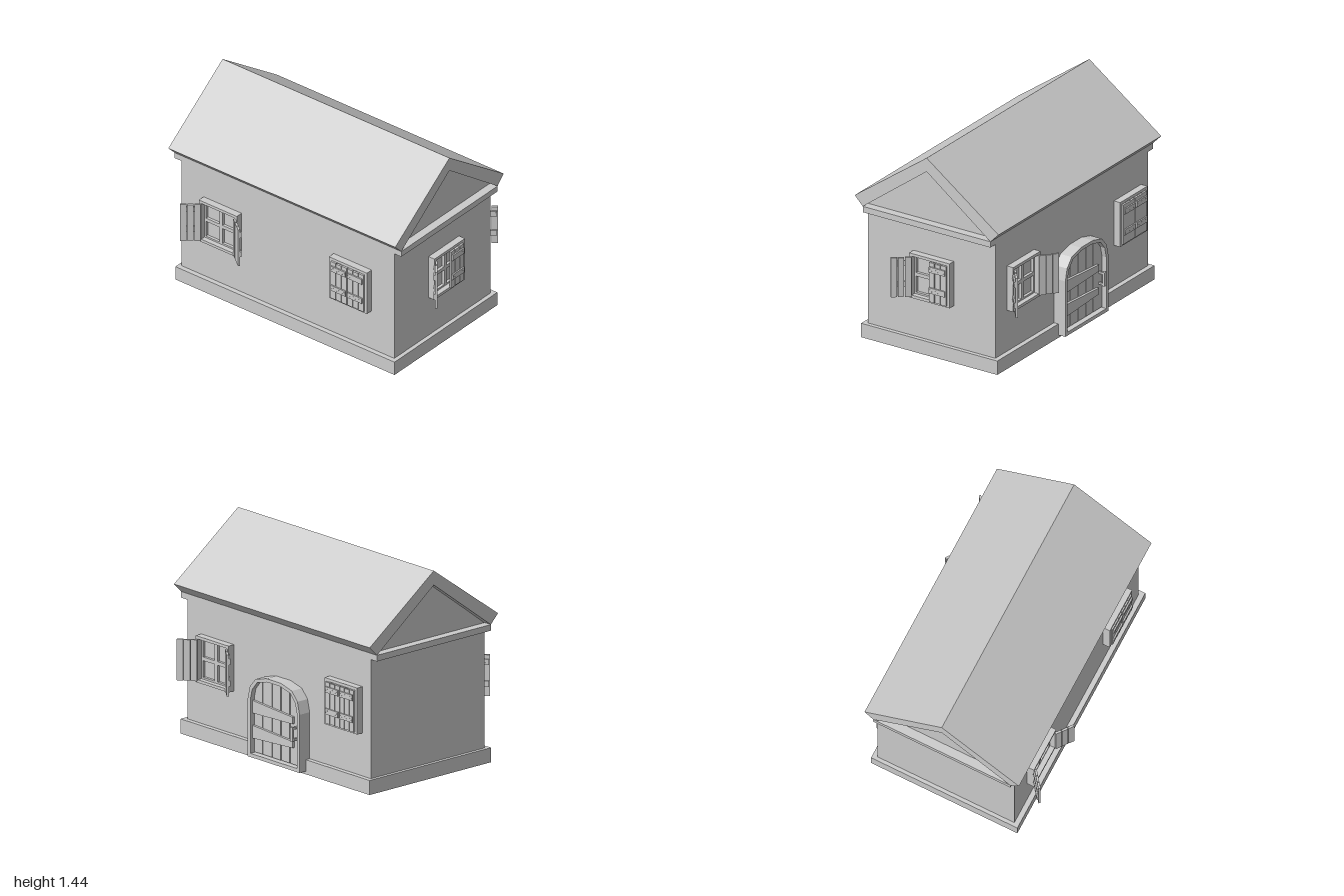
import * as THREE from 'three';

const grey = new THREE.MeshStandardMaterial({ color: 0xcccccc, flatShading: true, side: THREE.DoubleSide });

function add(parent, name, geometry, x = 0, y = 0, z = 0) {
  const mesh = new THREE.Mesh(geometry, grey);
  mesh.name = name;
  mesh.position.set(x, y, z);
  parent.add(mesh);
  return mesh;
}

function box(parent, name, w, h, d, x, y, z) {
  return add(parent, name, new THREE.BoxGeometry(w, h, d), x, y, z);
}

function group(parent, name, x = 0, y = 0, z = 0) {
  const g = new THREE.Group();
  g.name = name;
  g.position.set(x, y, z);
  parent.add(g);
  return g;
}

const polygon = (pts) => pts.map(([x, y]) => new THREE.Vector2(x, y));
const rectangle = (x0, x1, y0, y1) => [[x0, y0], [x1, y0], [x1, y1], [x0, y1]];

// Prism from an outline with optional holes, running from z = 0 to z = depth
function prism(outline, depth, holes = []) {
  const shape = new THREE.Shape(polygon(outline));
  holes.forEach((h) => shape.holes.push(new THREE.Path(polygon(h))));
  return new THREE.ExtrudeGeometry(shape, { depth, bevelEnabled: false });
}

const WINDOW_Y = 0.555;
const WALL = 0.045;

// One plank shutter, hinged at x = 0 and reaching towards side * x
function shutter(parent, side, open) {
  const s = group(parent, 'shutter', -side * 0.14, -0.006, 0.052);
  s.rotation.y = open ? -side * THREE.MathUtils.degToRad(142) : 0;
  const heights = [0.285, 0.28, 0.284];
  heights.forEach((h, i) => box(s, 'shutterPlank', 0.042, h, 0.015, side * (0.023 + i * 0.0465), 0, 0));
  for (const y of [0.094, -0.056]) {
    box(s, 'shutterBatten', 0.124, 0.04, 0.01, side * 0.07, y, 0.0125);
    for (let i = 0; i < 6; i++) {
      const nail = new THREE.CylinderGeometry(0.0022, 0.0022, 0.004, 6).rotateX(Math.PI / 2);
      const dx = Math.floor(i / 2) * 0.0465 + (i % 2 ? 0.008 : -0.008);
      add(s, 'nail', nail, side * (0.023 + dx), y + (i % 2 ? 0.007 : -0.005), 0.0185);
    }
  }
}

// Framed four-pane window with two shutters, facing +z from the wall face
function windowUnit(parent, x, surface, leftOpen, rightOpen) {
  const w = group(parent, 'window', x, WINDOW_Y, surface);
  const frame = prism(rectangle(-0.16, 0.16, -0.16, 0.16), 0.05, [rectangle(-0.14, 0.14, -0.14, 0.14)]);
  add(w, 'windowFrame', frame);
  const c = 0.0125, e = 0.128;
  const panes = [[-e, -c, -e, -c], [c, e, -e, -c], [-e, -c, c, e], [c, e, c, e]];
  const sash = prism(rectangle(-0.14, 0.14, -0.14, 0.14), 0.025, panes.map((p) => rectangle(...p)));
  add(w, 'windowSash', sash, 0, 0, -0.01);
  box(w, 'windowPane', 0.28, 0.28, 0.006, 0, 0, -0.008);
  shutter(w, 1, leftOpen);
  shutter(w, -1, rightOpen);
}

// Wall with its windows; each window is [x, leftOpen, rightOpen]
function wall(parent, name, angle, x0, x1, surface, windows) {
  const g = group(parent, name);
  g.rotation.y = angle;
  const holes = windows.map(([x]) => rectangle(x - 0.14, x + 0.14, WINDOW_Y - 0.14, WINDOW_Y + 0.14));
  add(g, name + 'Panel', prism(rectangle(x0, x1, 0.02, 0.93), WALL, holes), 0, 0, surface - WALL);
  windows.forEach(([x, l, r]) => windowUnit(g, x, surface, l, r));
  return g;
}

// Arched door facing +z from the wall face
function door(parent, x, surface) {
  const d = group(parent, 'door', x, 0, surface);
  const arch = [[0.253, 0.42], [0.232, 0.505], [0.177, 0.567], [0.07, 0.595]];
  const inner = [[0.228, 0.415], [0.21, 0.488], [0.162, 0.546], [0.064, 0.572]];
  const outline = (half, bottom) => [
    [-half[0][0], bottom], [half[0][0], bottom], ...half,
    ...half.slice().reverse().map(([px, py]) => [-px, py]),
  ];
  add(d, 'doorFrame', prism(outline(arch, 0.02), 0.09, [outline(inner, 0.045)]));
  add(d, 'doorBacking', prism(outline(inner, 0.045), 0.042));

  // Planks follow the arch along their tops
  const top = [...inner.map(([px, py]) => [-px, py]), ...inner.slice().reverse()];
  const topAt = (px) => {
    const i = Math.max(1, top.findIndex((p) => p[0] >= px - 1e-6));
    const [a, b] = [top[i - 1], top[i]];
    return THREE.MathUtils.lerp(a[1], b[1], (px - a[0]) / (b[0] - a[0]));
  };
  const edges = [-0.228, -0.142, -0.052, 0.035, 0.122, 0.228];
  for (let i = 0; i < 5; i++) {
    const a = edges[i] + 0.003, b = edges[i + 1] - 0.003;
    const between = top.filter((p) => p[0] > a && p[0] < b).reverse();
    const pts = [[a, 0.05], [b, 0.05], [b, topAt(b)], ...between, [a, topAt(a)]];
    add(d, 'doorPlank', prism(pts, 0.016), 0, 0, 0.04);
  }

  // Tapered cross boards and handle
  const boards = [
    [[-0.226, 0.32], [0.166, 0.333], [0.166, 0.38], [-0.226, 0.407]],
    [[-0.226, 0.147], [0.166, 0.168], [0.166, 0.213], [-0.226, 0.235]],
  ];
  boards.forEach((b) => add(d, 'doorBoard', prism(b, 0.018), 0, 0, 0.056));
  box(d, 'doorHandle', 0.022, 0.1, 0.016, 0.192, 0.274, 0.1);
  for (const y of [0.235, 0.313]) box(d, 'handleMount', 0.014, 0.014, 0.045, 0.192, y, 0.075);
}

export function createModel() {
  const house = new THREE.Group();
  house.name = 'house';

  // Open plinth ring, extruded upwards
  const plinth = prism(rectangle(-0.54, 0.54, -0.88, 0.965), 0.1, [rectangle(-0.46, 0.46, -0.805, 0.895)]);
  add(house, 'plinth', plinth.rotateX(-Math.PI / 2));

  // Walls
  const H = Math.PI / 2;
  wall(house, 'frontWall', 0, -0.505, 0.505, 0.85, [[0.015, true, false]]);
  wall(house, 'backWall', Math.PI, -0.505, 0.505, 0.94, []);
  const right = wall(house, 'rightWall', H, -0.85, 0.94, 0.505, [[-0.555, true, true], [0.70, false, false]]);
  wall(house, 'leftWall', -H, -0.94, 0.85, 0.505, [[-0.595, true, true], [0.5, false, false]]);
  door(right, 0.09, 0.505);

  // Eaves slab, recessed gables and roof
  box(house, 'eavesSlab', 1.012, 0.042, 1.91, 0, 0.941, -0.045);
  add(house, 'gable', prism([[-0.505, 0.96], [0.505, 0.96], [0, 1.345]], 1.79), 0, 0, -0.94);
  const roof = [[-0.57, 1.027], [-0.506, 0.962], [0, 1.34], [0.506, 0.962], [0.57, 1.027], [0, 1.438]];
  add(house, 'roof', prism(roof, 1.91), 0, 0, -1);

  return house;
}
